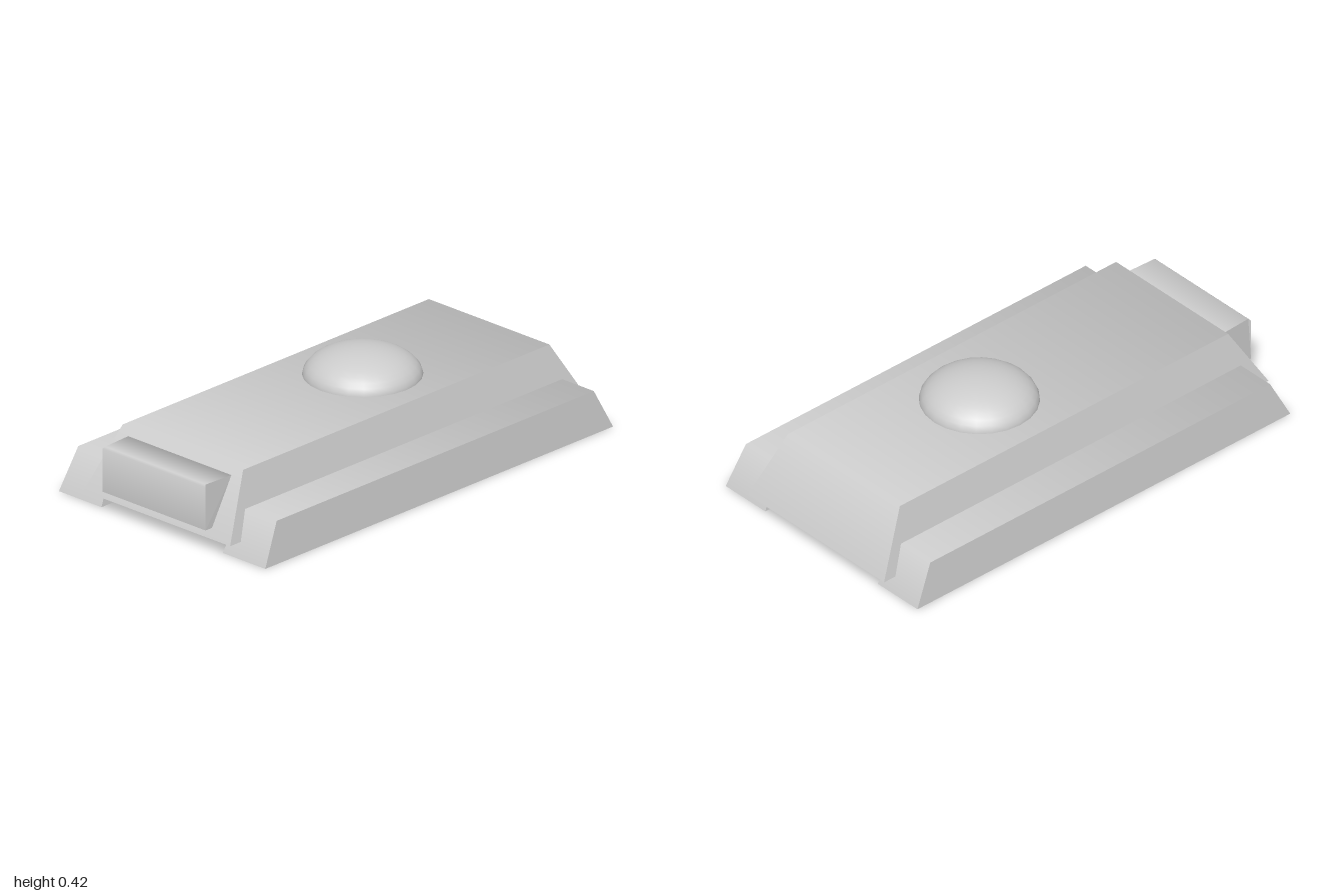
import * as THREE from 'three';

// Solid from a side profile running front, over the top, to the back.
// Each point is [z, y, xMin, xMax]. The run is smooth; flanks and base are flat.
function hull(profile) {
  const pos = [], nor = [];
  const L = profile.map(([z, y, a]) => new THREE.Vector3(a, y, z));
  const R = profile.map(([z, y, , b]) => new THREE.Vector3(b, y, z));
  const n = profile.length;
  const tri = (a, b, c, na, nb, nc) => {
    pos.push(...a.toArray(), ...b.toArray(), ...c.toArray());
    nor.push(...na.toArray(), ...nb.toArray(), ...nc.toArray());
  };
  const faceNormal = (a, b, c) => new THREE.Vector3().subVectors(b, a)
    .cross(new THREE.Vector3().subVectors(c, a)).normalize();

  // Front, top and back, sharing averaged normals
  const faces = [];
  for (let i = 0; i < n - 1; i++) faces.push(faceNormal(L[i], R[i], R[i + 1]));
  const normals = profile.map((_, i) => {
    const v = new THREE.Vector3();
    if (i > 0) v.add(faces[i - 1]);
    if (i < n - 1) v.add(faces[i]);
    return v.normalize();
  });
  for (let i = 0; i < n - 1; i++) {
    const p = normals[i], q = normals[i + 1];
    tri(L[i], R[i], R[i + 1], p, p, q);
    tri(L[i], R[i + 1], L[i + 1], p, q, q);
  }
  // Base
  const e = n - 1;
  const down = faceNormal(L[e], R[e], R[0]);
  tri(L[e], R[e], R[0], down, down, down);
  tri(L[e], R[0], L[0], down, down, down);
  // Flanks
  for (let i = 1; i < n - 1; i++) {
    const l = faceNormal(L[0], L[i], L[i + 1]);
    tri(L[0], L[i], L[i + 1], l, l, l);
    const r = faceNormal(R[0], R[i + 1], R[i]);
    tri(R[0], R[i + 1], R[i], r, r, r);
  }
  const g = new THREE.BufferGeometry();
  g.setAttribute('position', new THREE.Float32BufferAttribute(pos, 3));
  g.setAttribute('normal', new THREE.Float32BufferAttribute(nor, 3));
  return g;
}

export function createModel() {
  const group = new THREE.Group();
  const grey = new THREE.MeshStandardMaterial({ color: 0xcccccc });
  grey.name = 'light grey';
  const add = (name, geometry) => {
    const mesh = new THREE.Mesh(geometry, grey);
    mesh.name = name;
    group.add(mesh);
    return mesh;
  };

  // Central body with sloping ends and flanks
  add('body', hull([
    [0.985, 0.057, -0.39, 0.39],
    [0.84, 0.31, -0.32, 0.32],
    [-0.855, 0.31, -0.32, 0.32],
    [-1, 0.057, -0.39, 0.39],
  ]));

  // Side runners
  for (const [name, s] of [['leftRunner', 1], ['rightRunner', -1]]) {
    const span = (inner, outer) => (s > 0 ? [inner, outer] : [-outer, -inner]);
    add(name, hull([
      [0.955, 0, ...span(0.322, 0.548)],
      [0.87, 0.168, ...span(0.343, 0.527)],
      [-0.885, 0.168, ...span(0.343, 0.527)],
      [-0.97, 0, ...span(0.322, 0.548)],
    ]));
  }

  // Block on the nose with a slim bevel along its upper edge
  add('frontBlock', hull([
    [1, 0.093, -0.274, 0.274],
    [1, 0.272, -0.274, 0.274],
    [0.992, 0.28, -0.267, 0.267],
    [0.855, 0.28, -0.274, 0.274],
    [0.855, 0.093, -0.274, 0.274],
  ]));

  // Flattened dome on the deck
  const dome = add('dome', new THREE.SphereGeometry(1, 24, 10, 0, Math.PI * 2, 0, Math.PI / 2));
  dome.scale.set(0.234, 0.117, 0.234);
  dome.position.set(0, 0.303, -0.155);

  return group;
}
